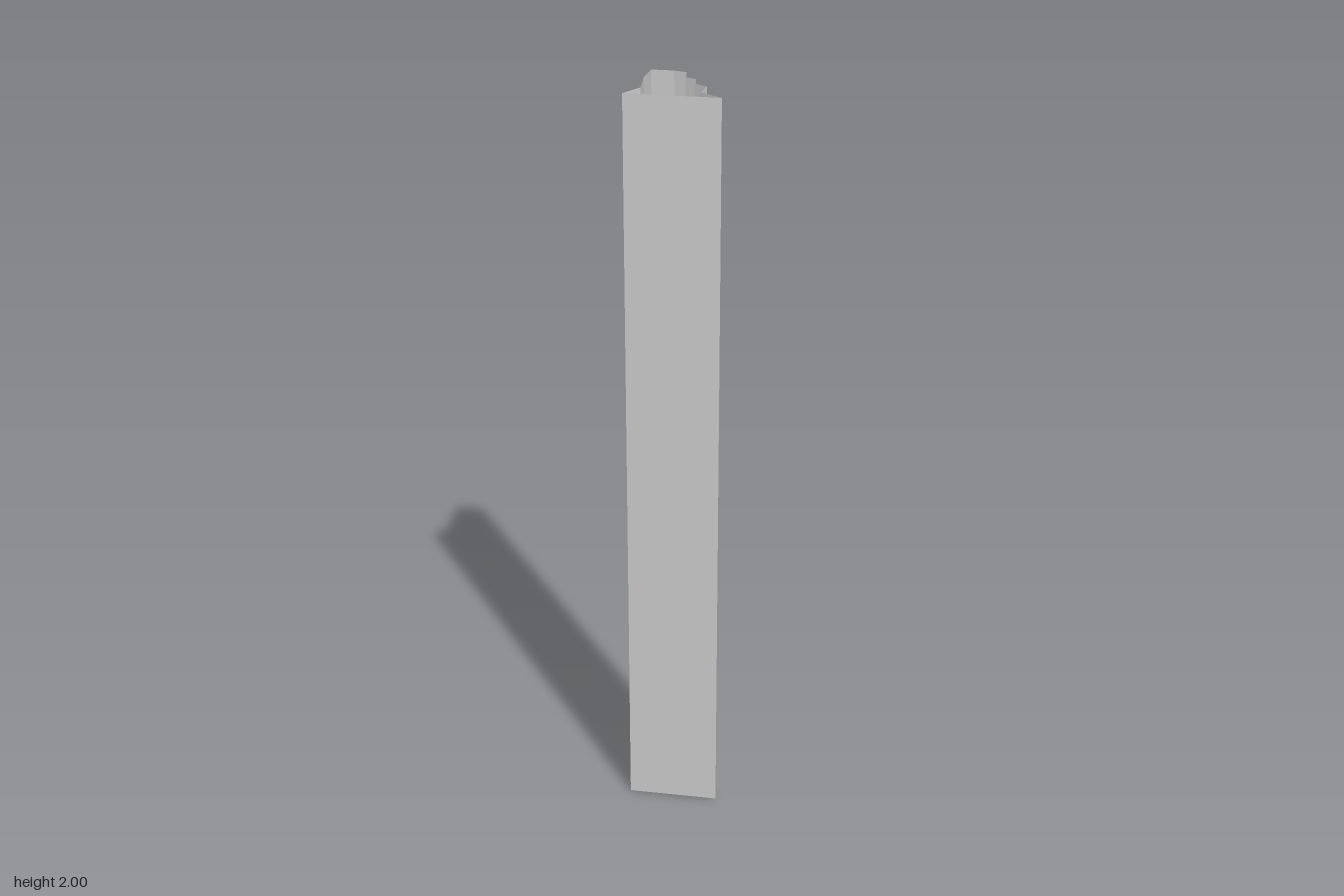
import * as THREE from 'three';

const HEIGHT = 2;

// Cross-section corners [x, z], running round the column from the front face
const PROFILE = [
  [-0.12, 0.11], [0.12, 0.11],                       // flat front face
  [0.063, 0.071], [0.07, 0.019], [0.038, 0],         // stepped side
  [0.033, -0.042], [0.005, -0.055], [0, -0.1],
  [-0.032, -0.109], [-0.09, -0.11],                  // back face
  [-0.095, -0.036], [-0.086, 0.053],                 // shallow recessed side
];

// One flat wall standing between two neighbouring corners, facing outward
function wall([x0, z0], [x1, z1], material) {
  const geometry = new THREE.PlaneGeometry(Math.hypot(x1 - x0, z1 - z0), HEIGHT);
  const mesh = new THREE.Mesh(geometry, material);
  mesh.position.set((x0 + x1) / 2, HEIGHT / 2, (z0 + z1) / 2);
  mesh.rotation.y = Math.atan2(z0 - z1, x1 - x0);
  return mesh;
}

export function createModel() {
  const model = new THREE.Group();
  model.name = 'hollowColumn';
  const material = new THREE.MeshStandardMaterial({
    color: 0xcccccc, flatShading: true, side: THREE.DoubleSide,
  });

  // Closed ring of walls, open at the top and bottom
  PROFILE.forEach((corner, i) => {
    const mesh = wall(corner, PROFILE[(i + 1) % PROFILE.length], material);
    mesh.name = i === 0 ? 'frontFace' : i < 8 ? 'steppedSide' : i === 8 ? 'backFace' : 'recessedSide';
    model.add(mesh);
  });
  return model;
}
